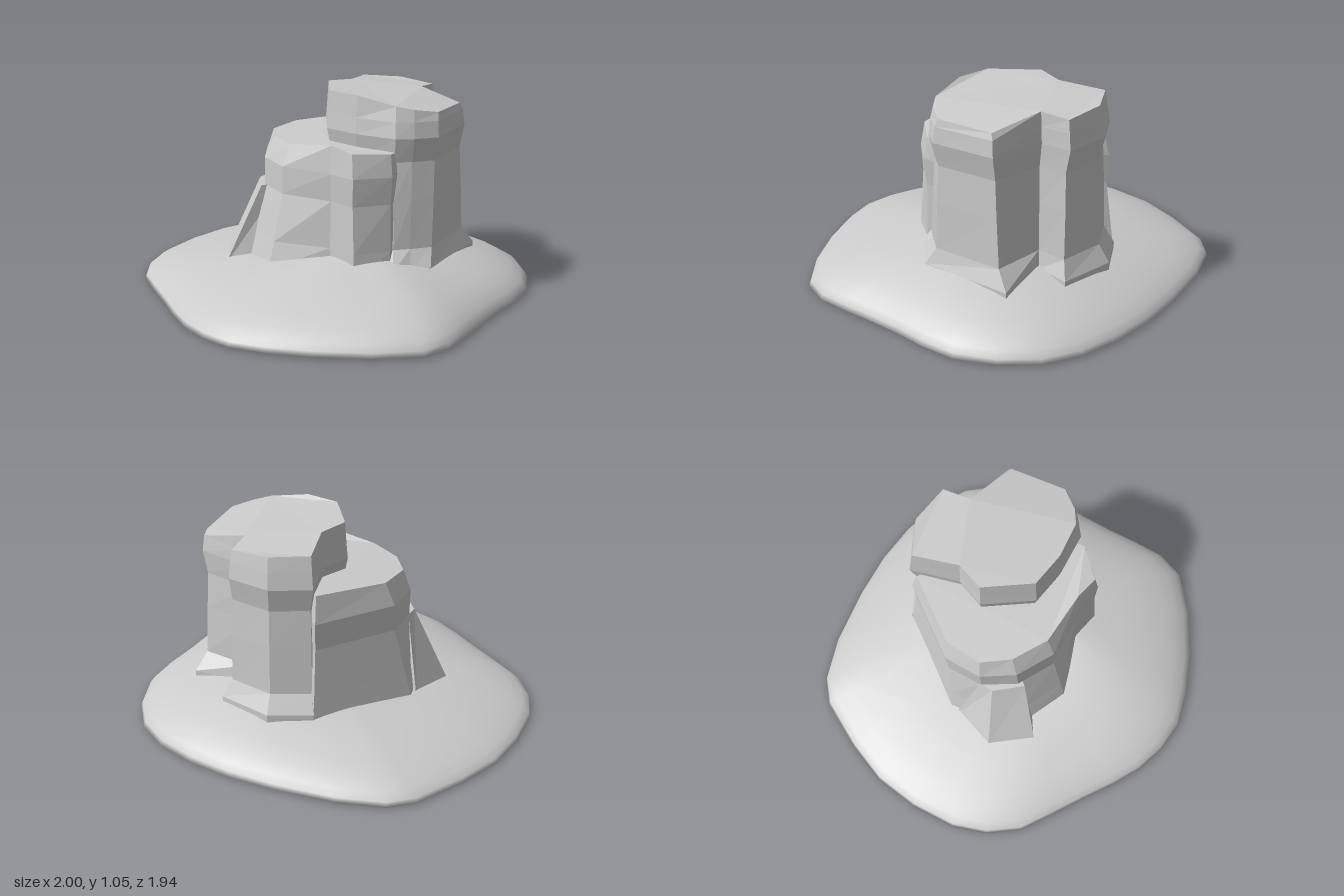
import * as THREE from 'three';
import { mergeVertices } from 'three/addons/utils/BufferGeometryUtils.js';

const V = (x, y, z) => new THREE.Vector3(x, y, z);

// triangles filling one closed ring, facing up or down
function capTriangles(ring, up = true) {
  const flat = ring.map(p => new THREE.Vector2(p.x, -p.z));
  const out = [];
  for (const [i, j, k] of THREE.ShapeUtils.triangulateShape(flat, [])) {
    const a = flat[i], b = flat[j], c = flat[k];
    const ccw = (b.x - a.x) * (c.y - a.y) - (b.y - a.y) * (c.x - a.x) > 0;
    out.push(ring[i], ...(ccw === up ? [ring[j], ring[k]] : [ring[k], ring[j]]));
  }
  return out;
}

// skin between rings listed from bottom to top
function wallTriangles(rings) {
  const out = [], n = rings[0].length;
  for (let r = 0; r + 1 < rings.length; r++) {
    for (let i = 0; i < n; i++) {
      const j = (i + 1) % n, lo = rings[r], hi = rings[r + 1];
      out.push(lo[i], lo[j], hi[j], lo[i], hi[j], hi[i]);
    }
  }
  return out;
}

function makeMesh(name, triangles, smooth = false) {
  let geo = new THREE.BufferGeometry().setFromPoints(triangles);
  if (smooth) geo = mergeVertices(geo);
  geo.computeVertexNormals();
  const mesh = new THREE.Mesh(geo, new THREE.MeshStandardMaterial({ color: 0xcccccc, flatShading: !smooth }));
  mesh.name = name;
  return mesh;
}

// rock wall: points are [topX, topZ, baseX, baseZ]; levels are [y, flare, swell], bottom to top
function makeRock(name, points, levels, centre, topY) {
  const rings = levels.map(([y, flare, swell], l) => points.map(([tx, tz, bx = tx, bz = tz]) => {
    const x = tx + (bx - tx) * flare, z = tz + (bz - tz) * flare;
    const top = l === levels.length - 1;
    return V(centre[0] + (x - centre[0]) * swell, top ? topY(x, z) : y, centre[1] + (z - centre[1]) * swell);
  }));
  return makeMesh(name, [...wallTriangles(rings), ...capTriangles(rings[rings.length - 1])]);
}

export function createModel() {
  const group = new THREE.Group();

  // smooth mound, its irregular outline given as x, z
  const outline = [
    [0, -0.97], [-0.31, -0.965], [-0.54, -0.92], [-0.66, -0.84], [-0.82, -0.61], [-0.93, -0.4],
    [-0.985, -0.17], [-1, 0.07], [-0.96, 0.25], [-0.87, 0.41], [-0.74, 0.52], [-0.58, 0.65],
    [-0.44, 0.77], [-0.31, 0.865], [-0.16, 0.935], [0, 0.97], [0.18, 0.95], [0.4, 0.89],
    [0.64, 0.79], [0.84, 0.66], [0.91, 0.52], [0.93, 0.35], [0.94, 0.2], [0.96, 0.02],
    [0.99, -0.15], [1, -0.33], [0.94, -0.53], [0.83, -0.7], [0.67, -0.82], [0.47, -0.9], [0.25, -0.95],
  ];
  const profile = [[0.97, 0], [1, 0.01], [0.99, 0.035], [0.96, 0.065], [0.9, 0.1], [0.82, 0.135],
    [0.69, 0.18], [0.54, 0.215], [0.33, 0.26], [0.15, 0.275], [0.01, 0.28]];
  const rings = profile.map(([s, y]) => outline.map(([x, z]) =>
    V(0.2 + (x - 0.2) * s, y * (1 - 0.22 * Math.max(0, 0.2 - x) / 1.2), z * s)));
  group.add(makeMesh('mound', [...wallTriangles(rings), ...capTriangles(rings[rings.length - 1])], true));
  group.add(makeMesh('moundUnderside', capTriangles(rings[0], false)));

  // lower terrace, leaning out at its foot
  group.add(makeRock('lowerTerrace', [
    [-0.05, -0.52, -0.06, -0.6], [-0.3, -0.24, -0.43, -0.19], [-0.33, -0.05, -0.42, 0],
    [-0.25, 0.09, -0.34, 0.22], [-0.09, 0.21, -0.14, 0.35], [0.17, 0.26, 0.17, 0.28],
    [0.3, 0.3, 0.33, 0.33], [0.45, 0.18, 0.46, 0.19], [0.45, 0], [0.2, -0.3],
  ], [[0.08, 1, 1], [0.16, 1, 1], [0.3, 0.75, 1], [0.54, 0.35, 1], [0.68, 0.25, 1.03], [0.79, 0, 1]],
  [0.1, -0.05], (x, z) => 0.79 + 0.03 * Math.max(0, 1 - Math.abs(x - 0.17) * 5) + 0.06 * Math.max(0, -z - 0.1)));

  // tall tower with a swelling crown, a notched back corner and a flared foot
  group.add(makeRock('upperTower', [
    [-0.04, -0.54, -0.06, -0.6], [0, -0.3], [-0.07, -0.16], [0.06, 0.08], [0.24, 0.13],
    [0.45, 0.13, 0.49, 0.23], [0.53, 0.09, 0.55, 0.15], [0.62, 0, 0.63, 0.08],
    [0.62, -0.3, 0.67, -0.41], [0.36, -0.41, 0.38, -0.42], [0.36, -0.56, 0.43, -0.59], [0.15, -0.61, 0.15, -0.68],
  ], [[0.1, 1, 1], [0.21, 1, 1], [0.3, 0.45, 0.96], [0.55, 0.3, 0.96], [0.74, 0.2, 0.95],
    [0.86, 0.15, 1.02], [0.94, 0.1, 1], [1.05, 0, 0.98]],
  [0.28, -0.22], (x, z) => 1.05 - 0.2 * Math.max(0, x - 0.27) - 0.08 * Math.max(0, -z - 0.2)));

  // sloping buttress against the terrace
  const foot = [V(-0.2, 0.08, -0.1), V(-0.46, 0.08, -0.17), V(-0.55, 0.13, 0.08), V(-0.43, 0.12, 0.3), V(-0.2, 0.08, 0.2)];
  const ledge = [V(-0.2, 0.54, -0.06), V(-0.36, 0.54, -0.04), V(-0.37, 0.54, 0.03), V(-0.28, 0.54, 0.17), V(-0.2, 0.54, 0.1)];
  group.add(makeMesh('buttress', [...wallTriangles([foot, ledge]), ...capTriangles(ledge)]));

  return group;
}
